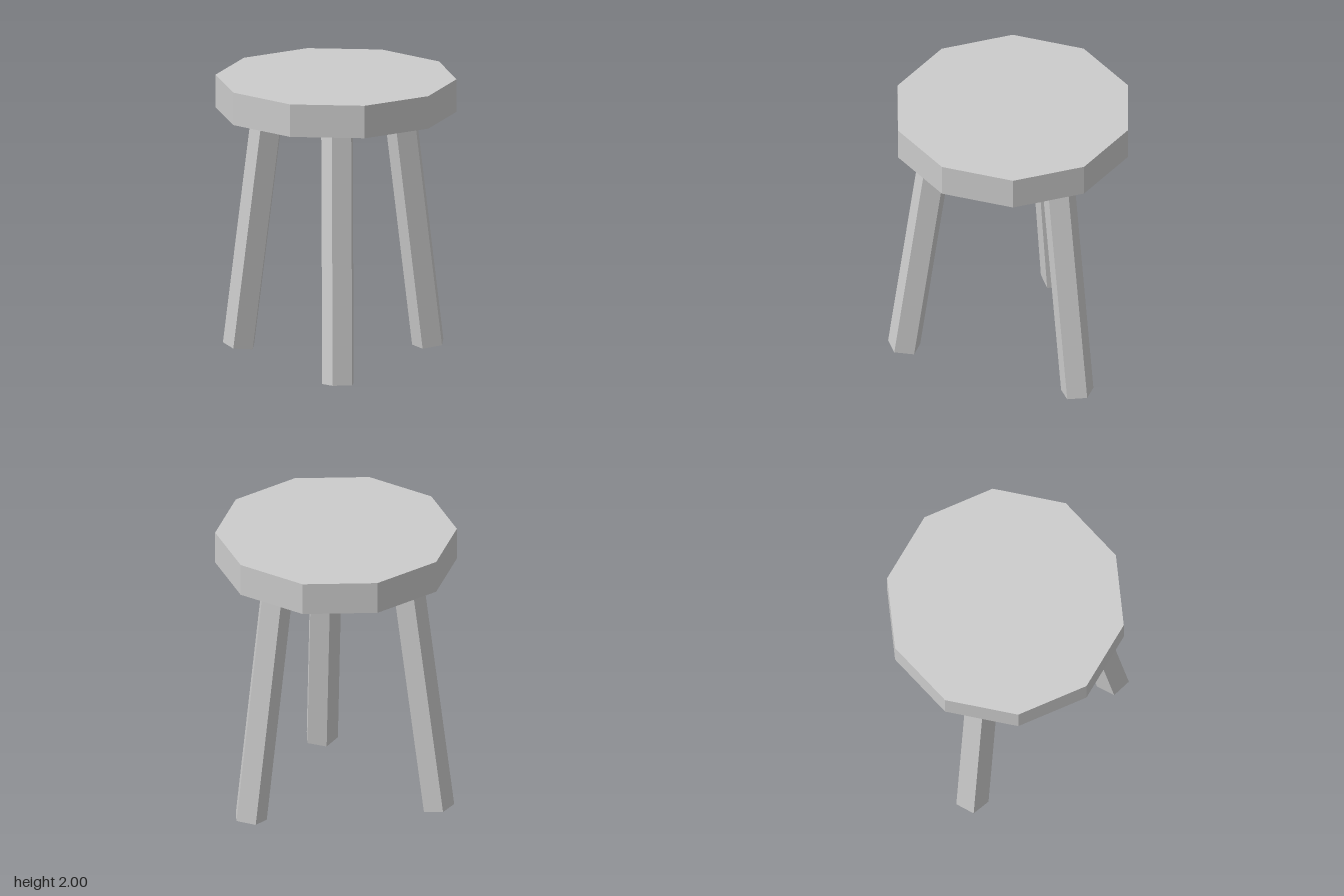
import * as THREE from 'three';

const CENTER_X = -0.02;
const material = new THREE.MeshStandardMaterial({ color: 0xcccccc, flatShading: true });

// Upright prism with one corner pointing toward +x
function prism(radius, height, sides) {
  return new THREE.CylinderGeometry(radius, radius, height, sides).rotateY(Math.PI / 2);
}

// Five-sided leg running between two points, tilted without twisting
function makeLeg(name, foot, top) {
  const axis = top.clone().sub(foot);
  const leg = new THREE.Mesh(prism(0.117, axis.length(), 5), material);
  leg.name = name;
  leg.position.copy(foot).add(top).multiplyScalar(0.5);
  leg.quaternion.setFromUnitVectors(new THREE.Vector3(0, 1, 0), axis.normalize());
  return leg;
}

export function createModel() {
  const stool = new THREE.Group();
  stool.name = 'stool';

  // Ten-sided seat slab
  const seat = new THREE.Mesh(prism(0.83, 0.23, 10), material);
  seat.name = 'seat';
  seat.position.set(CENTER_X, 1.885, 0);
  stool.add(seat);

  // Three legs splayed evenly around the seat centre
  ['leftLeg', 'frontRightLeg', 'backRightLeg'].forEach((name, i) => {
    const angle = (i * Math.PI * 2) / 3;
    const at = (radius, y) =>
      new THREE.Vector3(CENTER_X + radius * Math.cos(angle), y, radius * Math.sin(angle));
    stool.add(makeLeg(name, at(0.75, 0.016), at(0.515, 1.765)));
  });

  return stool;
}
